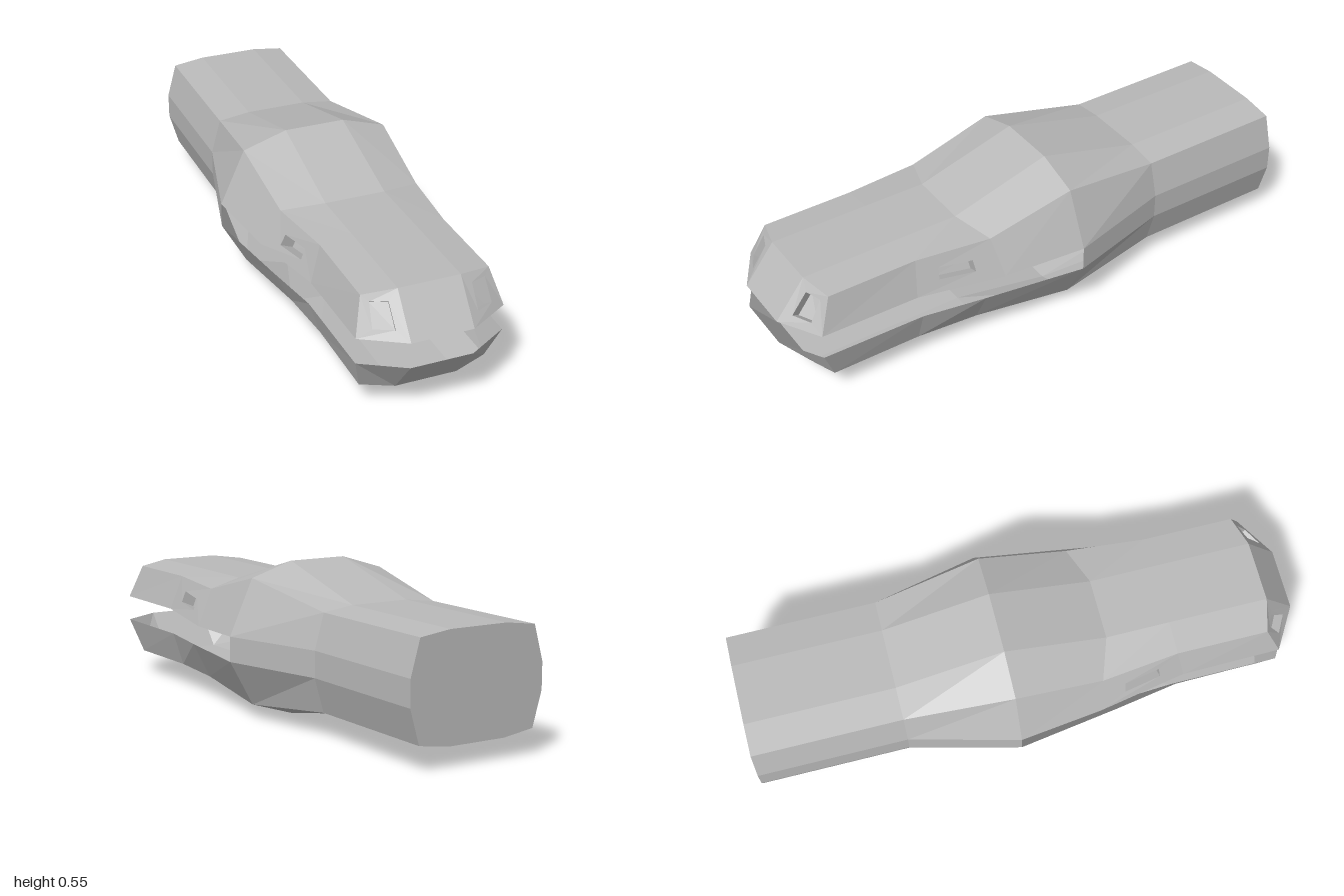
import * as THREE from 'three';

const V = (x, y, z) => new THREE.Vector3(x, y, z);
const flip = (p) => V(-p.x, p.y, p.z);

// Collects flat faces; every face is mirrored across x = 0
class Shell {
  constructor() { this.pos = []; }
  tri(a, b, c) { for (const p of [a, b, c]) this.pos.push(p.x, p.y, p.z); }
  face(a, b, c, d) { this.tri(a, b, c); this.tri(a, c, d); }
  quad(a, b, c, d) {
    this.face(a, b, c, d);
    this.face(flip(d), flip(c), flip(b), flip(a));
  }
  // quad spanning the middle, between two points and their mirror images
  centre(a, b) { this.face(flip(a), flip(b), b, a); }
  mesh(name, material) {
    const g = new THREE.BufferGeometry();
    g.setAttribute('position', new THREE.Float32BufferAttribute(this.pos, 3));
    g.computeVertexNormals();
    const m = new THREE.Mesh(g, material);
    m.name = name;
    return m;
  }
}

// Panel with a four-sided opening that leads into a shallow pocket
function recessedPanel(panel, pocket, [a, b, c, d], uv, depth) {
  const outer = [a, b, c, d];
  const inner = uv.map(([u, v]) =>
    a.clone().lerp(d, u).lerp(b.clone().lerp(c, u), v));
  const n = inner[1].clone().sub(inner[0])
    .cross(inner[3].clone().sub(inner[0])).normalize();
  const floor = inner.map((p) => p.clone().addScaledVector(n, -depth));
  for (let i = 0; i < 4; i++) {
    const k = (i + 1) % 4;
    panel.quad(outer[i], outer[k], inner[k], inner[i]);
    pocket.quad(inner[i], inner[k], floor[k], floor[i]);
  }
  pocket.quad(...floor);
}

export function createModel() {
  const grey = new THREE.MeshStandardMaterial({
    color: 0xbababa, flatShading: true, side: THREE.DoubleSide });
  grey.name = 'grey';

  // Half sections from back to front: crown, brow, upper lip
  const upper = [
    [V(.11, .445, -1), V(.225, .43, -1), V(.26, .305, -1)],
    [V(.11, .445, -.46), V(.225, .43, -.46), V(.26, .305, -.46)],
    [V(.11, .55, -.07), V(.27, .5, -.07), V(.36, .302, -.07)],
    [V(.11, .444, .3), V(.255, .42, .25), V(.32, .29, .23)],
    [V(.11, .445, .53), V(.225, .43, .53), V(.265, .305, .55)],
    [V(.11, .445, .89), V(.225, .43, .86), V(.26, .305, .91)],
  ];
  // Lower lip, jaw corner, belly
  const lower = [
    [V(.26, .212, -1), V(.225, .09, -1), V(.11, .073, -1)],
    [V(.26, .212, -.46), V(.225, .09, -.46), V(.11, .073, -.46)],
    [V(.36, .212, -.07), V(.27, .05, -.07), V(.11, 0, -.07)],
    [V(.304, .212, .3), V(.237, .083, .3), V(.11, .073, .3)],
    [V(.265, .212, .53), V(.225, .09, .53), V(.11, .073, .53)],
    [V(.26, .212, .91), V(.225, .09, .86), V(.11, .073, .89)],
  ];

  const body = new Shell(), upperJaw = new Shell(), lowerJaw = new Shell();
  const eyes = new Shell(), sideSlots = new Shell();

  for (let i = 0; i < 5; i++) {
    const back = i < 2;
    const top = back ? body : upperJaw, bottom = back ? body : lowerJaw;
    const [u, un, l, ln] = [upper[i], upper[i + 1], lower[i], lower[i + 1]];
    top.centre(u[0], un[0]);
    bottom.centre(ln[2], l[2]);
    top.quad(u[0], un[0], un[1], u[1]);
    // side slot in the cheek panel
    if (i === 3) {
      recessedPanel(upperJaw, sideSlots, [u[1], un[1], un[2], u[2]],
        [[.4, .3], [.35, .73], [.66, .73], [.7, .3]], .05);
    } else top.quad(u[1], un[1], un[2], u[2]);
    for (let j = 0; j < 2; j++) bottom.quad(l[j], ln[j], ln[j + 1], l[j + 1]);
    // closed flank behind the mouth
    if (back) body.quad(u[2], un[2], ln[0], l[0]);
  }

  // Rear cap
  const rim = [...upper[0], ...lower[0]];
  for (let j = 0; j < 5; j++) body.centre(rim[j + 1], rim[j]);

  // Snout with eye pockets
  const [crown, brow, lip] = upper[5];
  const snoutTip = V(.11, .305, 1);
  upperJaw.centre(crown, snoutTip);
  recessedPanel(upperJaw, eyes, [crown, snoutTip, lip, brow],
    [[.29, .21], [.24, .77], [.7, .77], [.76, .18]], .035);

  // Chin
  const [lowLip, jawCorner, belly] = lower[5];
  const chinTip = V(.11, .212, 1);
  lowerJaw.centre(chinTip, belly);
  lowerJaw.quad(chinTip, belly, jawCorner, lowLip);

  const group = new THREE.Group();
  group.name = 'openMouthedHead';
  group.add(
    body.mesh('body', grey),
    upperJaw.mesh('upperJaw', grey),
    lowerJaw.mesh('lowerJaw', grey),
    eyes.mesh('eyePockets', grey),
    sideSlots.mesh('sideSlots', grey));
  return group;
}
